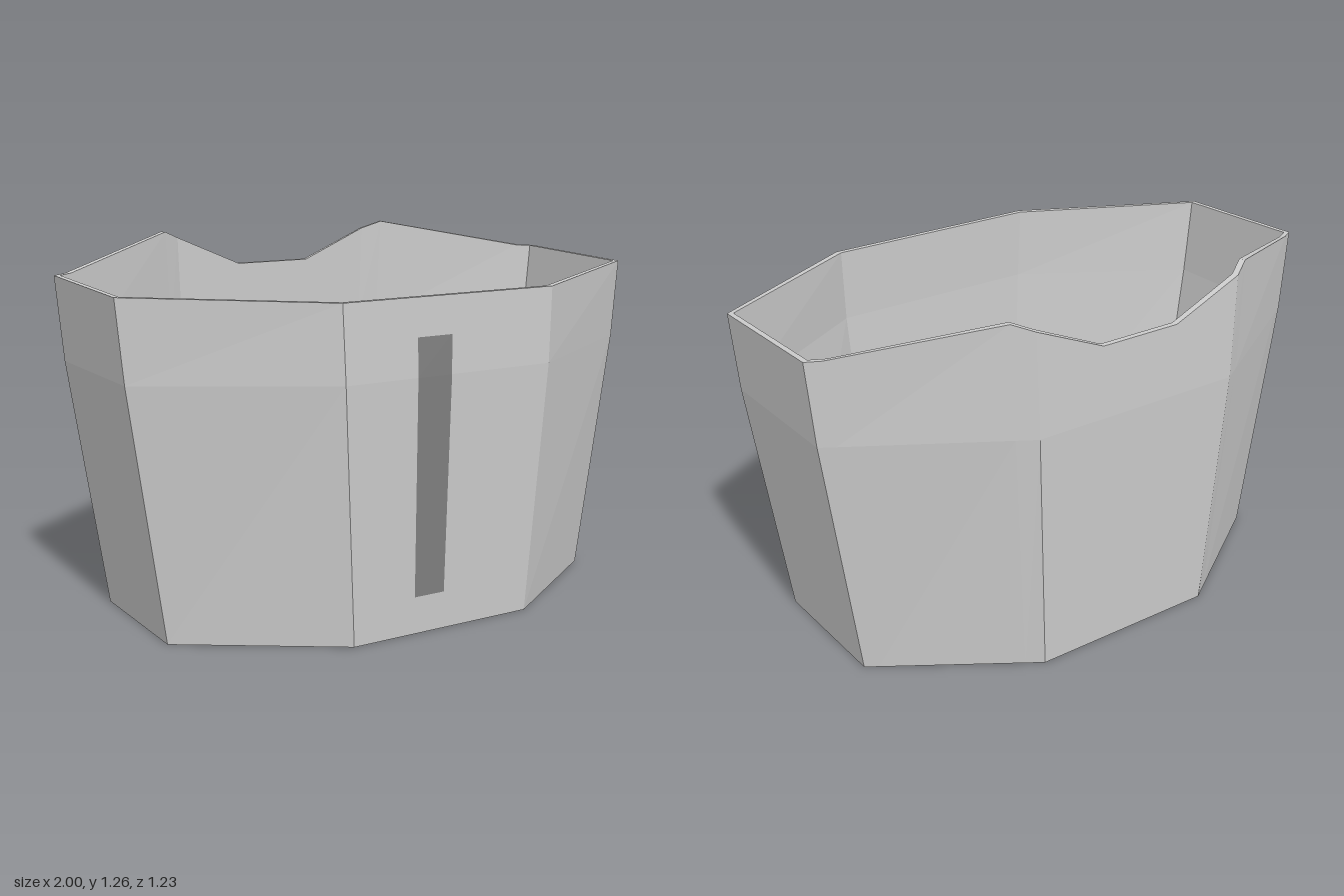
import * as THREE from 'three';

// Half plan of the octagonal wall, front to back: [x, z, rim height]
const HALF = [
  [0.405, 0.615, 1.127], [1, 0.26, 1.145], [1, -0.26, 1.16], [0.95, -0.29, 1.162],
  [0.47, -0.576, 1.257], [0.405, -0.615, 1.23], [0.15, -0.615, 1.12],
];
const MID = 0.87;

// The plan widens up to the crease, then flares more gently to the rim
const scaleX = y => y < MID ? 0.85 + 0.125 * y / MID : 0.975 + 0.09 * (y - MID);
const scaleZ = y => y < MID ? 0.943 + 0.057 * y / MID : 1 - 0.025 * (y - MID);

// Surface through rows of points; each row runs to the right as seen from outside
function skin(rows, closed) {
  const n = rows[0].length, index = [];
  for (let r = 0; r < rows.length - 1; r++) {
    for (let i = 0; i < (closed ? n : n - 1); i++) {
      const j = (i + 1) % n, a = r * n + i, b = r * n + j;
      index.push(a, b, b + n, a, b + n, a + n);
    }
  }
  const g = new THREE.BufferGeometry();
  g.setAttribute('position', new THREE.Float32BufferAttribute(rows.flat(2), 3));
  g.setIndex(index);
  const flat = g.toNonIndexed();
  flat.computeVertexNormals();
  return flat;
}

export function createModel() {
  const group = new THREE.Group();
  group.name = 'cuff';

  // Wall: up the outside, over the rim, down the inside, and closed underneath
  const plan = [...HALF, ...HALF.map(([x, z, h]) => [-x, z, h]).reverse()];
  const ring = (height, kx, kz) => plan.map(([x, z, h]) => {
    const y = height ?? h;
    return [x * kx * scaleX(y), y, z * kz * scaleZ(y)];
  });
  const inner = [0.981, 0.967];
  const rows = [
    ring(0, 1, 1), ring(MID, 1, 1), ring(null, 1, 1),
    ring(null, ...inner), ring(MID, ...inner), ring(0, ...inner), ring(0, 1, 1),
  ];
  const wall = new THREE.Mesh(skin(rows, true),
    new THREE.MeshStandardMaterial({ color: 0xcccccc, flatShading: true }));
  wall.name = 'wall';
  group.add(wall);

  // Narrow dark strip lying on the front panel
  const stripRows = [0.13, MID, 1].map(y => {
    const z = 0.615 * scaleZ(y) + 0.002;
    return [[-0.133 * scaleX(y), y, z], [0, y, z]];
  });
  const strip = new THREE.Mesh(skin(stripRows, false),
    new THREE.MeshStandardMaterial({ color: 0x808080 }));
  strip.name = 'frontStrip';
  group.add(strip);

  return group;
}
